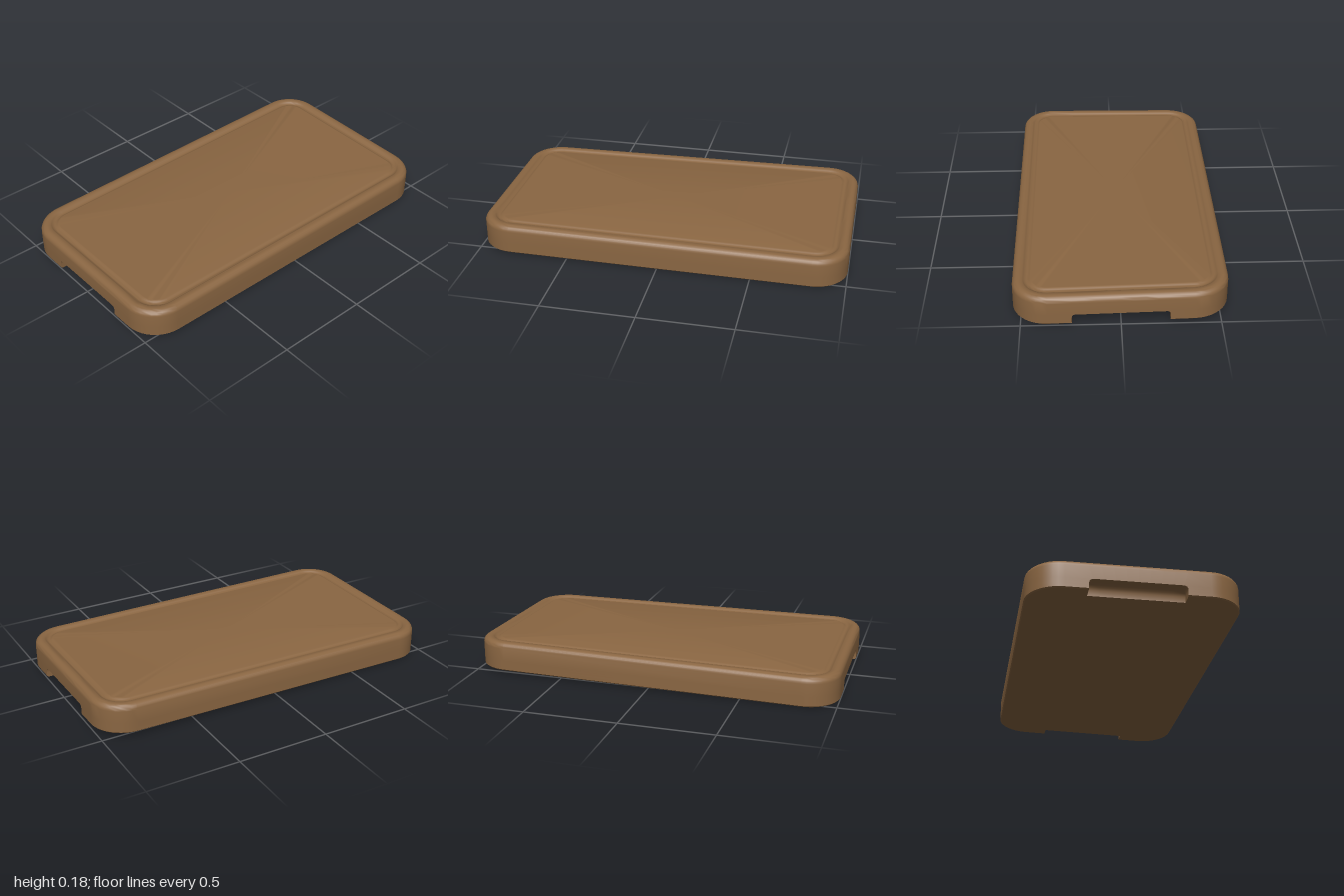
import * as THREE from 'three';
import { toCreasedNormals } from 'three/addons/utils/BufferGeometryUtils.js';

const HALF_X = 1, HALF_Z = 0.545, RADIUS = 0.18, THICK = 0.158;

// Slight warp of the wood: one corner lifts more than the others
const lift = (x, z) => {
  const u = x / HALF_X, v = z / HALF_Z;
  return 0.01 + 0.005 * u - 0.004 * v - 0.009 * u * v;
};

// Rounded-rectangle loop; the ends are pushed in by `depth` over |z| < w (finger grips)
function ring({ inset = 0, y, depth = 0, w = 0.245, scale = 1 }) {
  const pts = [];
  const add = (x, z) => pts.push(new THREE.Vector3(x * scale, y + lift(x * scale, z * scale), z * scale));
  const end = (s) => {
    const lip = s * (HALF_X - inset), inner = s * (HALF_X - Math.max(inset, depth));
    add(lip, -s * w);
    for (let k = -4; k <= 4; k++) add(inner, s * w * k / 4);
    add(lip, s * w);
  };
  const corner = (sx, sz, start) => {
    const r = RADIUS - inset;
    for (let k = 0; k <= 10; k++) {
      const a = start + (k / 10) * Math.PI / 2;
      add(sx * (HALF_X - RADIUS) + r * Math.cos(a), sz * (HALF_Z - RADIUS) + r * Math.sin(a));
    }
  };
  end(1);
  corner(1, 1, 0);
  corner(-1, 1, Math.PI / 2);
  end(-1);
  corner(-1, -1, Math.PI);
  corner(1, -1, Math.PI * 1.5);
  return pts;
}

// Skin the loops from top to bottom, leaving out collapsed triangles
function loft(rings) {
  const pos = [], tri = new THREE.Triangle();
  const face = (a, b, c) => {
    if (tri.set(a, b, c).getArea() > 1e-9) pos.push(...a.toArray(), ...b.toArray(), ...c.toArray());
  };
  for (let i = 0; i + 1 < rings.length; i++) {
    const p = rings[i], q = rings[i + 1], n = p.length;
    for (let j = 0; j < n; j++) {
      const k = (j + 1) % n;
      face(p[j], p[k], q[j]);
      face(p[k], q[k], q[j]);
    }
  }
  const g = new THREE.BufferGeometry();
  g.setAttribute('position', new THREE.Float32BufferAttribute(pos, 3));
  return toCreasedNormals(g, 0.7);
}

export function createModel() {
  const wood = new THREE.MeshStandardMaterial({ color: 0x8a6642 });
  wood.name = 'brown wood';

  const loops = [];
  // Flat cutting surface
  loops.push({ inset: 0.1, y: THICK - 0.003, scale: 0 }, { inset: 0.1, y: THICK - 0.003 });
  // Shallow juice groove
  for (let k = 0; k <= 6; k++) {
    const t = k / 6;
    loops.push({ inset: 0.095 - 0.045 * t, y: THICK - 0.003 * (1 - t) - 0.011 * Math.sin(Math.PI * t) });
  }
  // Rounded upper edge
  for (let k = 0; k <= 6; k++) {
    const a = (k / 6) * Math.PI / 2;
    loops.push({ inset: 0.032 * (1 - Math.sin(a)), y: THICK - 0.032 * (1 - Math.cos(a)) });
  }
  // Side wall down to the grips, then the coved grip recess
  loops.push(
    { y: 0.058, w: 0.225 },
    { y: 0.058, w: 0.225, depth: 0.035 },
    { y: 0.053, w: 0.238, depth: 0.052 },
    { y: 0.045, w: 0.244, depth: 0.061 },
    { y: 0.03, depth: 0.067 },
    { y: 0.006, depth: 0.07 },
  );
  // Eased lower edge and flat underside
  loops.push(
    { inset: 0.006, y: 0, depth: 0.07 },
    { inset: 0.1, y: 0 },
    { inset: 0.1, y: 0, scale: 0 },
  );

  const board = new THREE.Mesh(loft(loops.map(ring)), wood);
  board.name = 'cuttingBoard';

  const model = new THREE.Group();
  model.name = 'woodenBoard';
  model.add(board);
  return model;
}
